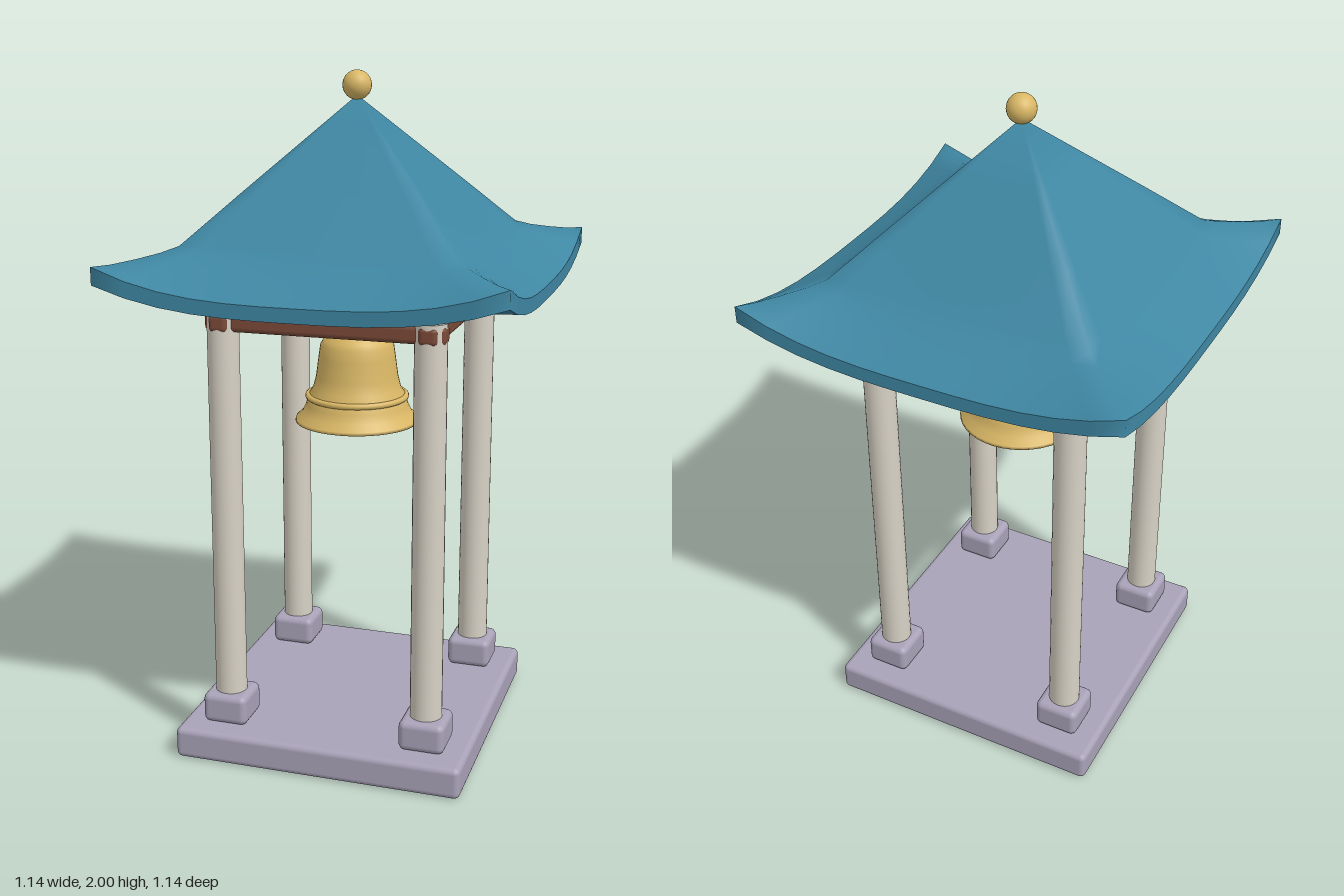
import * as THREE from 'three';
import { mergeVertices } from 'three/addons/utils/BufferGeometryUtils.js';
import { RoundedBoxGeometry } from 'three/addons/geometries/RoundedBoxGeometry.js';

const mat = (name, color) => {
  const m = new THREE.MeshStandardMaterial({ color });
  m.name = name;
  return m;
};

// Four-sided shell swept through rows [half width, height at mid side, lift at the corners]
function squareShell(rows, columns = 12) {
  const pos = [], index = [];
  for (let side = 0; side < 4; side++) {
    const a = side * Math.PI / 2, c = Math.cos(a), s = Math.sin(a);
    const base = pos.length / 3;
    rows.forEach(([r, y, lift]) => {
      for (let j = 0; j <= columns; j++) {
        const t = 2 * j / columns - 1, x = t * r;
        pos.push(x * c + r * s, y + lift * Math.abs(t) ** 3, r * c - x * s);
      }
    });
    for (let i = 0; i < rows.length - 1; i++) {
      for (let j = 0; j < columns; j++) {
        const p = base + i * (columns + 1) + j, q = p + columns + 1;
        if (rows[i][0] > 0) index.push(p, q, p + 1);
        if (rows[i + 1][0] > 0) index.push(q, q + 1, p + 1);
      }
    }
  }
  const g = new THREE.BufferGeometry();
  g.setAttribute('position', new THREE.Float32BufferAttribute(pos, 3));
  g.setIndex(index);
  const merged = mergeVertices(g, 1e-4);
  merged.computeVertexNormals();
  return merged;
}

export function createModel() {
  const model = new THREE.Group();
  model.name = 'bellPavilion';
  const tile = mat('teal roof', 0x3f87a3);
  const gold = mat('gold', 0xd9b765);
  const plaster = mat('pale post', 0xd8d2c5);
  const stone = mat('stone', 0xa9a2b8);
  const wood = mat('brown wood', 0x7a4a38);
  const darkWood = mat('dark wood', 0x603a30);

  const add = (name, geometry, material, x = 0, y = 0, z = 0) => {
    const mesh = new THREE.Mesh(geometry, material);
    mesh.name = name;
    mesh.position.set(x, y, z);
    model.add(mesh);
    return mesh;
  };
  const box = (w, h, d, r) => new RoundedBoxGeometry(w, h, d, 3, r);

  // Platform, post bases and posts
  add('platform', box(0.87, 0.095, 0.87, 0.018), stone, 0, 0.0475, 0);
  for (const x of [-0.303, 0.303]) for (const z of [-0.303, 0.303]) {
    add('postBase', box(0.136, 0.092, 0.136, 0.02), stone, x, 0.141, z);
    add('post', new THREE.CylinderGeometry(0.046, 0.047, 1.17, 24), plaster, x, 0.765, z);
  }

  // Frame beams, upper beams and the bell's crossbeam
  for (const s of [-0.303, 0.303]) {
    add('sideBeam', box(0.056, 0.054, 0.7, 0.015), wood, s, 1.317, 0);
    add('crossFrameBeam', box(0.7, 0.054, 0.056, 0.015), wood, 0, 1.317, s);
    add('upperBeam', box(0.7, 0.045, 0.05, 0.013), wood, 0, 1.378, s);
  }
  add('bellBeam', box(0.7, 0.052, 0.052, 0.014), darkWood, 0, 1.335, 0);
  add('bellHanger', new THREE.CylinderGeometry(0.013, 0.013, 0.09, 12), darkWood, 0, 1.285, 0);

  // Hollow bell: up the outside after coming down the inside
  const profile = [
    [0, 1.235], [0.05, 1.235], [0.09, 1.2], [0.108, 1.08], [0.135, 1.02], [0.172, 0.978],
    [0.186, 0.973], [0.184, 0.982], [0.165, 1.0], [0.153, 1.025], [0.148, 1.05], [0.132, 1.075],
    [0.123, 1.11], [0.115, 1.17], [0.11, 1.205], [0.1, 1.222], [0.075, 1.25], [0.055, 1.262], [0, 1.263],
  ].map(([r, y]) => new THREE.Vector2(r, y));
  add('bell', new THREE.LatheGeometry(profile, 40), gold);
  const band = add('bellBand', new THREE.TorusGeometry(0.147, 0.009, 10, 40), gold, 0, 1.05, 0);
  band.rotation.x = Math.PI / 2;
  add('clapperRod', new THREE.CylinderGeometry(0.007, 0.007, 0.25, 8), darkWood, 0, 1.11, 0);
  add('clapper', new THREE.SphereGeometry(0.024, 16, 12), tile, 0, 0.987, 0);

  // Roof: straight slopes that flare out to eaves with lifted corners
  add('roofSlopes', squareShell([
    [0, 1.93, 0], [0.13, 1.8, 0], [0.26, 1.67, 0], [0.39, 1.538, 0], [0.43, 1.505, 0.018],
    [0.48, 1.473, 0.038], [0.53, 1.444, 0.058], [0.57, 1.42, 0.08],
  ]), tile);
  add('eaveEdge', squareShell([[0.57, 1.42, 0.08], [0.57, 1.38, 0.07]]), tile);
  add('eaveSoffit', squareShell([[0.57, 1.38, 0.07], [0.39, 1.395, 0]]), tile);
  add('roofLining', squareShell([[0.39, 1.395, 0], [0.37, 1.49, 0], [0, 1.86, 0]]), tile);
  add('finial', new THREE.SphereGeometry(0.042, 24, 16), gold, 0, 1.958, 0);

  return model;
}
